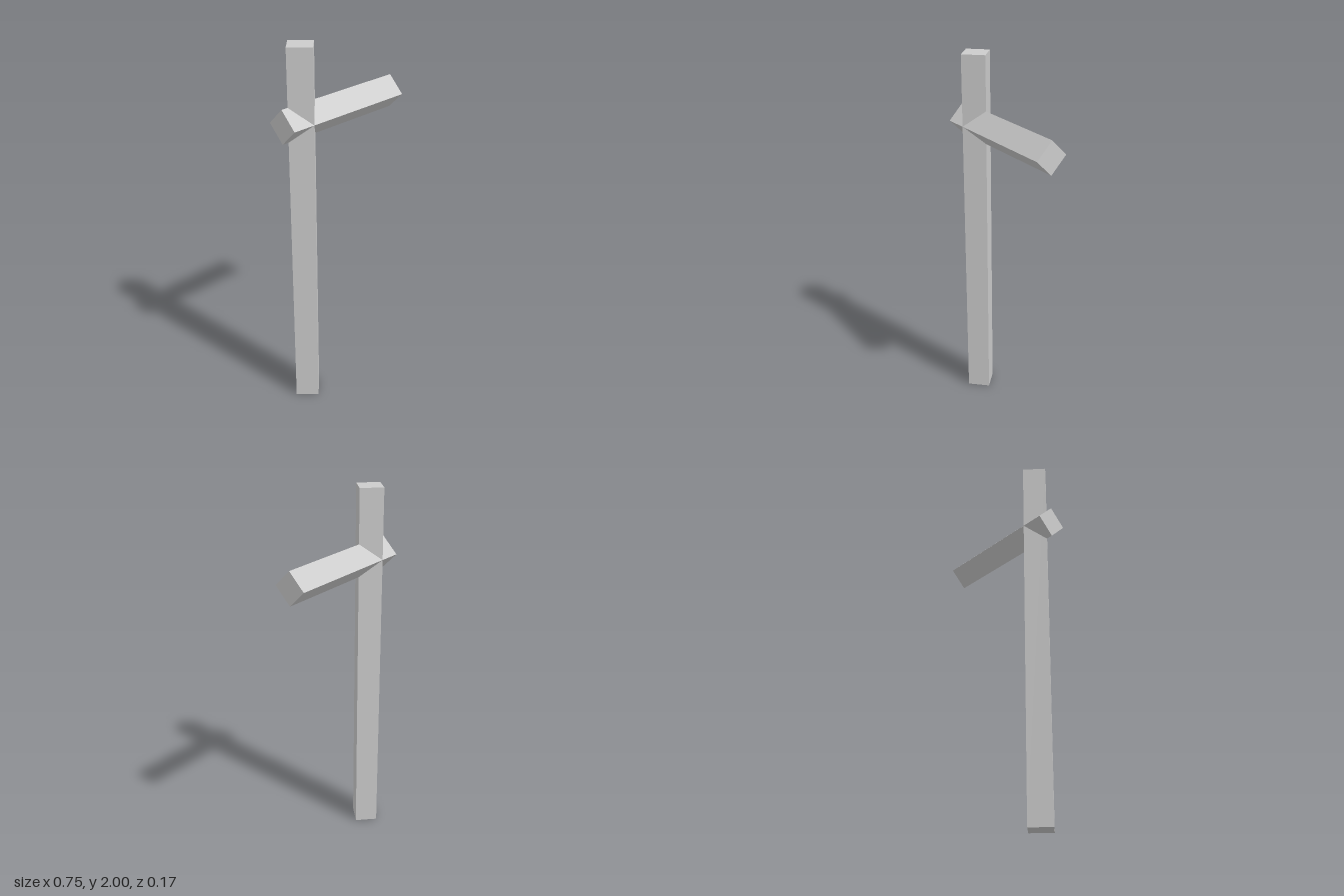
import * as THREE from 'three';

const RADIUS = 0.0875; // centre to corner of the square section

// Square beam standing on its diagonal: four-sided cylinder along y
function beam(name, length, material) {
  const mesh = new THREE.Mesh(new THREE.CylinderGeometry(RADIUS, RADIUS, length, 4), material);
  mesh.name = name;
  return mesh;
}

export function createModel() {
  const group = new THREE.Group();
  group.name = 'signpost';
  const material = new THREE.MeshStandardMaterial({ color: 0xcccccc, flatShading: true });

  // Upright post, offset to one side
  const post = beam('post', 2, material);
  post.position.set(-0.25, 1, 0);

  // Horizontal arm passing through the post
  const arm = beam('arm', 0.75, material);
  arm.rotation.z = Math.PI / 2;
  arm.position.set(0, 1.627, 0);

  group.add(post, arm);
  return group;
}
